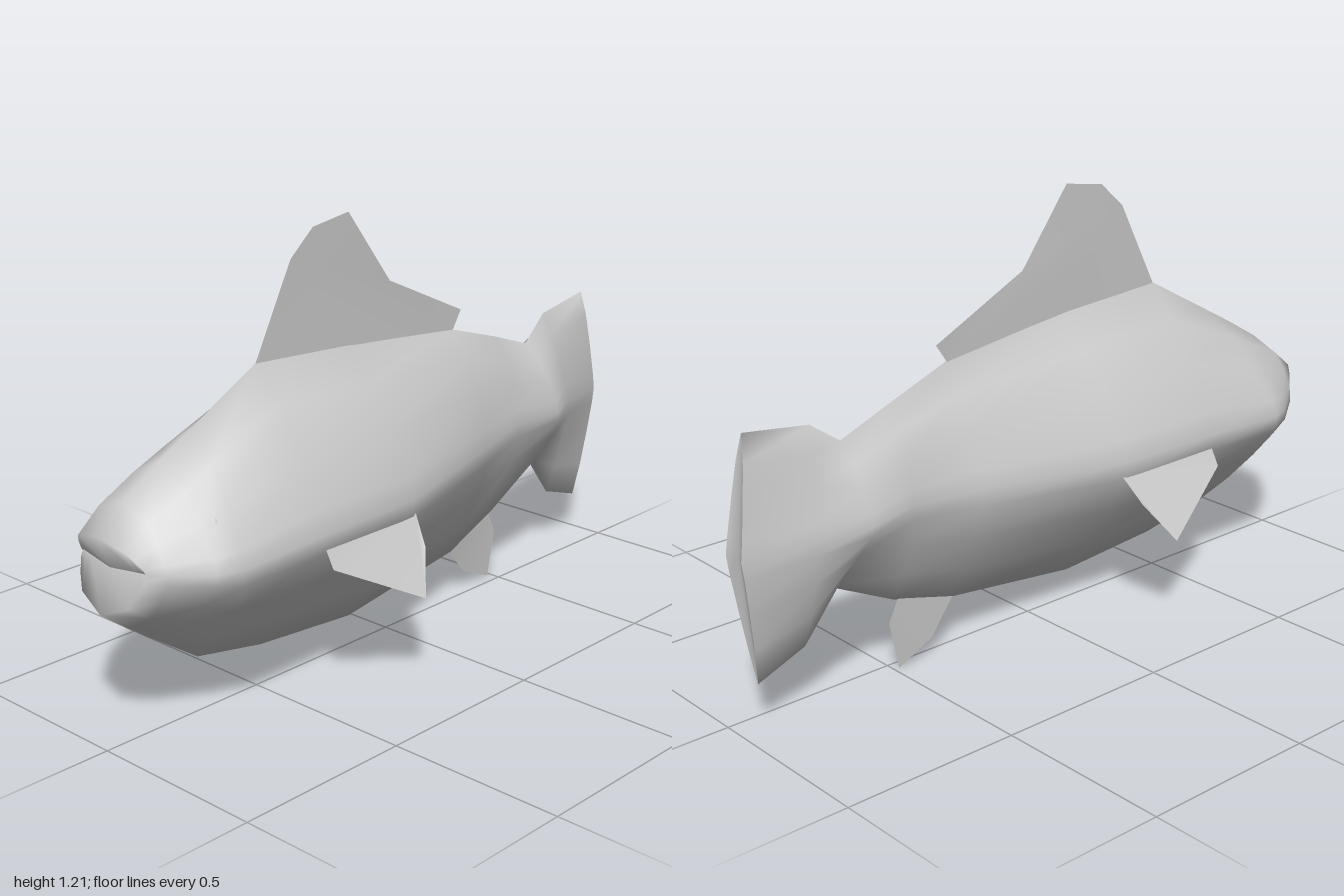
import * as THREE from 'three';

const skin = new THREE.MeshStandardMaterial({ color: 0xcccccc });
const finSkin = new THREE.MeshStandardMaterial({ color: 0xcccccc, side: THREE.DoubleSide });

// Half cross-section from back to belly: [share of half width, share of height above (+) or below (-) the flank]
const PROFILE = [[0, 1], [0.36, 0.77], [0.68, 0.47], [0.94, 0.16], [1, 0], [1, -0.13], [0.72, -0.41], [0.37, -0.71], [0, -1]];

// Nose to tail: z at back, flank and belly, y of back, flank and belly, half width, x offset, squareness
const STATIONS = [
  [1.00, 0.95, 1.00, 0.56, 0.48, 0.36, 0.12, 0, 1.3],
  [0.92, 0.92, 0.92, 0.63, 0.48, 0.30, 0.155, 0, 0.9],
  [0.80, 0.82, 0.84, 0.70, 0.47, 0.245, 0.22, 0, 0.4],
  [0.70, 0.76, 0.70, 0.755, 0.47, 0.15, 0.243, 0, 0.1],
  [0.48, 0.48, 0.48, 0.875, 0.48, 0.11, 0.245, 0, 0],
  [0.15, 0.15, 0.15, 0.855, 0.48, 0.085, 0.238, 0, 0],
  [-0.29, -0.29, -0.29, 0.81, 0.49, 0.14, 0.135, -0.012, 0.4],
  [-0.50, -0.50, -0.50, 0.745, 0.50, 0.205, 0.10, -0.033, 0.5],
  [-0.66, -0.66, -0.71, 0.69, 0.50, 0.31, 0.13, -0.045, 0.3],
  [-0.76, -0.80, -0.80, 0.76, 0.49, 0.18, 0.075, -0.06, 0.2],
  [-0.96, -1.00, -0.95, 0.79, 0.48, 0.13, 0.033, -0.07, 0.5],
];

function ring([zTop, zMid, zBot, top, mid, bot, w, cx, square]) {
  const half = PROFILE.map(([u, v]) => [
    w * Math.pow(u, 1 - square / 2),
    v > 0 ? mid + (top - mid) * v : mid + (mid - bot) * v,
    zMid + ((v > 0 ? zTop : zBot) - zMid) * Math.abs(v),
  ]);
  const mirrored = half.slice(1, -1).reverse().map(([x, y, z]) => [-x, y, z]);
  return [...half, ...mirrored].map(([x, y, z]) => [x + cx, y, z]);
}

function geometryFrom(points, index) {
  const geometry = new THREE.BufferGeometry();
  geometry.setAttribute('position', new THREE.Float32BufferAttribute(points.flat(), 3));
  geometry.setIndex(index);
  geometry.computeVertexNormals();
  return geometry;
}

function mesh(name, geometry, material = skin) {
  const m = new THREE.Mesh(geometry, material);
  m.name = name;
  return m;
}

// Thin sheet filling an outline of [x, y, z] corners
function fin(name, corners) {
  const outline = corners.map(([, y, z]) => new THREE.Vector2(z, y));
  const faces = THREE.ShapeUtils.triangulateShape(outline, []);
  return mesh(name, geometryFrom(corners, faces.flat()), finSkin);
}

export function createModel() {
  const fish = new THREE.Group();
  fish.name = 'fish';

  // Body: rings joined from the recessed mouth line to the tail
  const rings = STATIONS.map(ring);
  rings.unshift(rings[0].map(([x]) => [x, 0.474 + 0.08 * Math.abs(x), 0.965 - 0.13 * Math.abs(x)]));
  const n = rings[0].length;
  const index = [];
  for (let i = 0; i < rings.length - 1; i++) {
    for (let j = 0; j < n; j++) {
      const a = i * n + j, b = i * n + (j + 1) % n;
      index.push(a, b, a + n, b, b + n, a + n);
    }
  }
  fish.add(mesh('body', geometryFrom(rings.flat(), index)));

  // Trailing edge of the tail
  const end = rings[rings.length - 1];
  const fan = end.flatMap((_, j) => [n, j, (j + 1) % n]);
  fish.add(mesh('tailEdge', geometryFrom([...end, [-0.07, 0.48, -0.985]], fan)));

  // Fins on the centre line
  fish.add(fin('dorsalFin', [
    [0, 0.87, 0.48], [0, 1.12, 0.35], [0, 1.19, 0.27], [0, 1.21, 0.14],
    [-0.003, 1.0, -0.02], [-0.018, 0.86, -0.33], [-0.014, 0.805, -0.29], [0, 0.84, 0.1],
  ]));
  fish.add(fin('analFin', [
    [-0.012, 0.145, -0.28], [-0.028, 0.05, -0.37], [-0.032, 0.0, -0.485],
    [-0.033, 0.14, -0.515], [-0.032, 0.21, -0.48],
  ]));

  // Paired fins and eyelids
  for (const [side, s] of [['left', 1], ['right', -1]]) {
    fish.add(fin(side + 'PectoralFin', [
      [0.24, 0.45, 0.48], [0.27, 0.395, 0.48], [0.355, 0.265, 0.23],
      [0.29, 0.37, 0.16], [0.232, 0.445, 0.135],
    ].map(([x, y, z]) => [s * x, y, z])));

    const eyelid = mesh(side + 'Eyelid', new THREE.SphereGeometry(0.02, 12, 8));
    eyelid.position.set(s * 0.158, 0.583, 0.77);
    eyelid.rotation.z = s * -0.8;
    eyelid.scale.set(1.2, 0.5, 0.9);
    fish.add(eyelid);
  }
  return fish;
}
